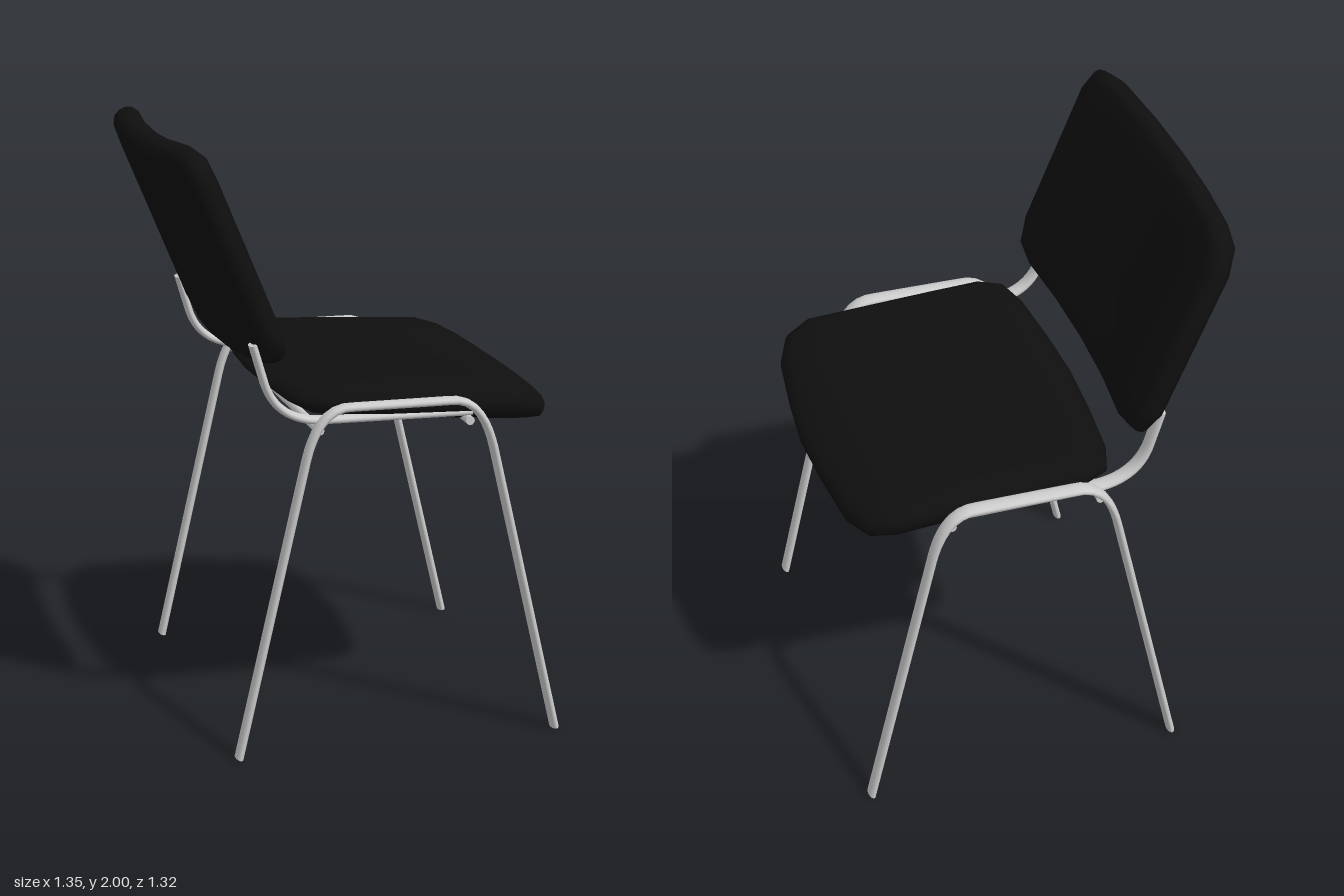
import * as THREE from 'three';

const metal = new THREE.MeshStandardMaterial({ color: 0xcccccc });
const fabric = new THREE.MeshStandardMaterial({ color: 0x0f0f0f });
const V = (x, y) => new THREE.Vector3(x, y, 0);

// Oval metal tube bent in the xy plane; segs lists lines (2 points) and bends (3 points)
function ovalTube(name, segs, z) {
  const path = new THREE.CurvePath();
  for (const s of segs) {
    const p = s.map(([x, y]) => V(x, y));
    path.add(p.length === 2 ? new THREE.LineCurve3(...p) : new THREE.QuadraticBezierCurve3(...p));
  }
  const g = new THREE.Group();
  g.name = name;
  const r = 0.0135;
  const tube = new THREE.Mesh(new THREE.TubeGeometry(path, 90, r, 12), metal);
  tube.name = name + 'Tube';
  g.add(tube);
  // end caps
  for (const t of [0, 1]) {
    const cap = new THREE.Mesh(new THREE.CylinderGeometry(r, r, 0.008, 12), metal);
    cap.name = name + 'Cap';
    cap.position.copy(path.getPointAt(t));
    cap.quaternion.setFromUnitVectors(V(0, 1), path.getTangentAt(t));
    g.add(cap);
  }
  g.scale.z = 0.03 / r;
  g.position.z = z;
  return g;
}

// Cushion: a counter-clockwise outline repeated in rings [scale, level], placed by map(u, v, level)
const RINGS = [[0, -1], [0.25, -1], [0.5, -1], [0.75, -1], [0.92, -0.95], [0.98, -0.6], [1, -0.2],
  [1, 0.25], [0.98, 0.65], [0.93, 0.95], [0.75, 1], [0.5, 1], [0.25, 1], [0, 1]];
function cushion(name, outline, map) {
  const n = outline.length, pos = [], idx = [];
  RINGS.forEach(([s, t], r) => {
    outline.forEach(([u, v], i) => {
      pos.push(...map(u * s, v * s, t));
      if (r === 0) return;
      const a = (r - 1) * n + i, b = (r - 1) * n + (i + 1) % n;
      idx.push(a, b, b + n, a, b + n, a + n);
    });
  });
  const geo = new THREE.BufferGeometry();
  geo.setAttribute('position', new THREE.Float32BufferAttribute(pos, 3));
  geo.setIndex(idx);
  geo.computeVertexNormals();
  const m = new THREE.Mesh(geo, fabric);
  m.name = name;
  return m;
}

// Linear interpolation through [x, y] points
function profile(pts, x) {
  if (x <= pts[0][0]) return pts[0][1];
  for (let i = 1; i < pts.length; i++) {
    const [x0, y0] = pts[i - 1], [x1, y1] = pts[i];
    if (x <= x1) return y0 + (y1 - y0) * (x - x0) / (x1 - x0);
  }
  return pts[pts.length - 1][1];
}

export function createModel() {
  const chair = new THREE.Group();
  chair.name = 'chair';

  for (const side of [1, -1]) {
    const label = side > 0 ? 'left' : 'right';
    // bent leg pair
    chair.add(ovalTube(label + 'LegFrame', [
      [[-0.47, 0.006], [-0.245, 0.98]],
      [[-0.245, 0.98], [-0.205, 1.163], [-0.1, 1.163]],
      [[-0.1, 1.163], [0.25, 1.163]],
      [[0.25, 1.163], [0.355, 1.163], [0.395, 0.98]],
      [[0.395, 0.98], [0.623, 0.006]],
    ], 0.63 * side));
    // rail under the seat that turns up to carry the backrest
    chair.add(ovalTube(label + 'BackSupport', [
      [[-0.4, 1.37], [-0.365, 1.25]],
      [[-0.365, 1.25], [-0.325, 1.115], [-0.17, 1.112]],
      [[-0.17, 1.112], [0.325, 1.108]],
    ], 0.57 * side));
  }

  // cross bars
  for (const [name, x] of [['rearCrossBar', -0.19], ['frontCrossBar', 0.317]]) {
    const bar = new THREE.Mesh(new THREE.CylinderGeometry(0.015, 0.015, 1.22, 12), metal);
    bar.name = name;
    bar.rotation.x = Math.PI / 2;
    bar.position.set(x, 1.085, 0);
    chair.add(bar);
  }

  // seat, dropping at the front edge
  const top = [[-0.29, 1.175], [-0.23, 1.2], [-0.16, 1.21], [0.5, 1.175], [0.58, 1.148], [0.67, 1.1]];
  const bottom = [[-0.29, 1.145], [-0.2, 1.122], [0.3, 1.08], [0.53, 1.06], [0.63, 1.035], [0.67, 1.055]];
  const cx = 0.19;
  const half = [[0.48, 0], [0.465, 0.22], [0.44, 0.45], [0.395, 0.56], [0.31, 0.6], [0.1, 0.6],
    [-0.15, 0.6], [-0.33, 0.597], [-0.415, 0.56], [-0.45, 0.45], [-0.47, 0.22], [-0.48, 0]];
  const seatOutline = [...half, ...half.slice(1, -1).reverse().map(([u, v]) => [u, -v])];
  chair.add(cushion('seat', seatOutline, (u, v, t) => {
    const x = cx + u, lo = profile(bottom, x), hi = profile(top, x);
    return [x, lo + (hi - lo) * (t + 1) / 2, -v];
  }));

  // backrest, leaning back and curved around the sitter
  const corner = [[0.63, 0], [0.63, 0.27], [0.59, 0.355], [0.48, 0.38], [0.25, 0.38]];
  const upper = [...corner, [0, 0.38], ...corner.slice().reverse().map(([u, v]) => [-u, v])];
  const backOutline = [...upper, ...upper.slice(1, -1).reverse().map(([u, v]) => [u, -v])];
  chair.add(cushion('backrest', backOutline, (u, v, t) => {
    const n = 0.052 * t + 0.035 * Math.min(1.2, (u / 0.48) ** 2);
    return [-0.497 - 0.38 * v + 0.925 * n, 1.63 + 0.925 * v + 0.38 * n, -u];
  }));

  return chair;
}
